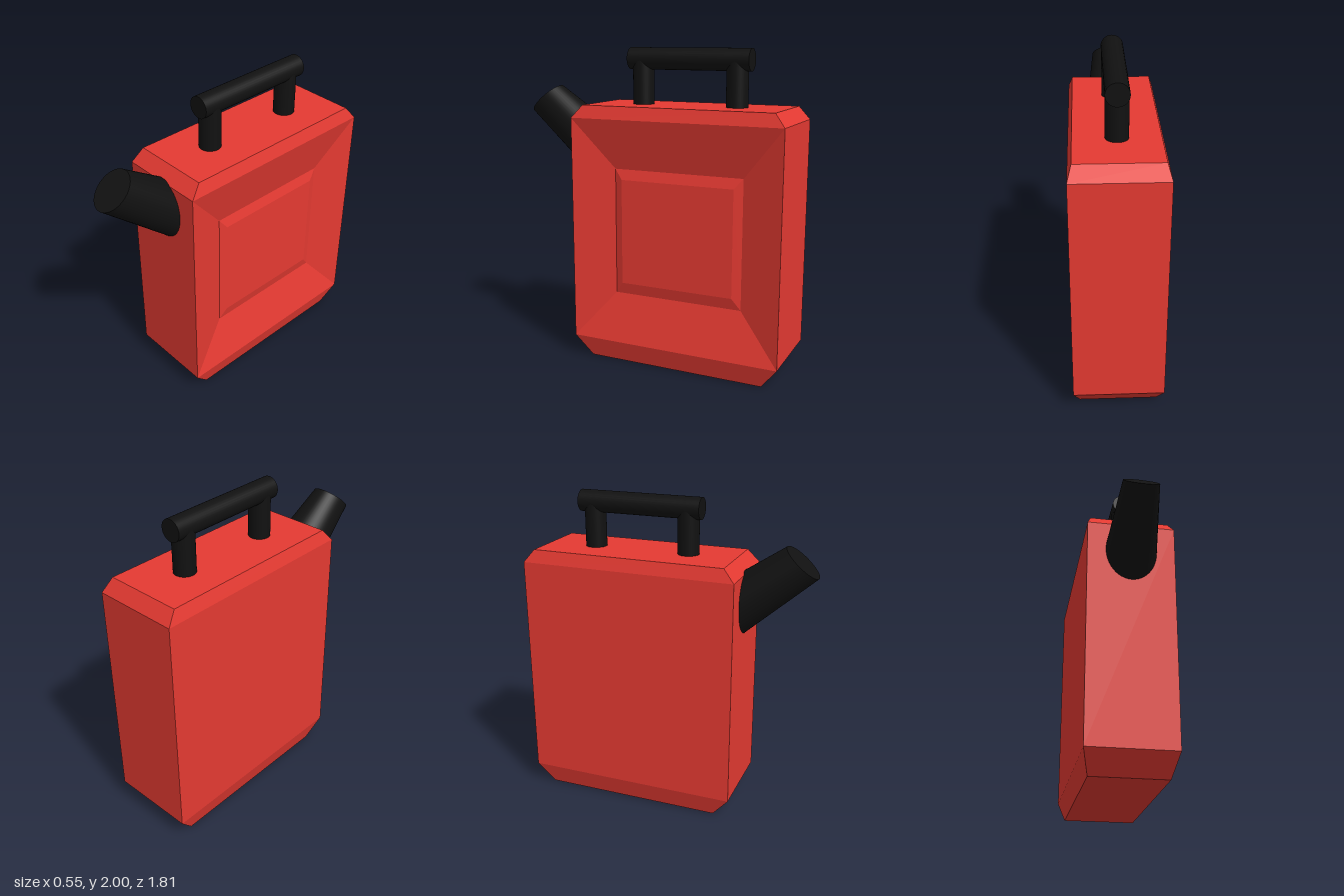
import * as THREE from 'three';

const red = new THREE.MeshStandardMaterial({ color: 0xe53a32 });
red.name = 'red plastic';
const black = new THREE.MeshStandardMaterial({ color: 0x111111 });
black.name = 'black plastic';

function addMesh(parent, name, geometry, material) {
  const mesh = new THREE.Mesh(geometry, material);
  mesh.name = name;
  parent.add(mesh);
  return mesh;
}

// Four corners of a horizontal section, counter-clockwise from above
const section = (y, x, z0, z1) => [[x, y, z0], [x, y, z1], [-x, y, z1], [-x, y, z0]];

// Four corners of a rectangle facing +x, counter-clockwise from outside
const panel = (x, y0, y1, z0, z1) => [[x, y0, z0], [x, y0, z1], [x, y1, z1], [x, y1, z0]];

// Chamfered tank with a stepped recess pressed into its left side
function bodyGeometry() {
  const positions = [];
  const quad = (a, b, c, d) => positions.push(...a, ...b, ...c, ...a, ...c, ...d);
  const bridge = (from, to, skip = -1) => {
    for (let i = 0; i < 4; i++) {
      const j = (i + 1) % 4;
      if (i !== skip) quad(from[i], from[j], to[j], to[i]);
    }
  };

  const levels = [
    section(0, 0.235, 0.36, -0.8),
    section(0.135, 0.273, 0.47, -0.905),
    section(1.57, 0.273, 0.47, -0.905),
    section(1.65, 0.248, 0.4, -0.84),
  ];
  // the middle band leaves its +x side open for the recess
  for (let k = 0; k < 3; k++) bridge(levels[k], levels[k + 1], k === 1 ? 0 : -1);
  quad(...levels[3]);
  quad(...[...levels[0]].reverse());

  const steps = [
    panel(0.273, 0.135, 1.57, 0.47, -0.905),
    panel(0.193, 0.445, 1.255, 0.2, -0.645),
    panel(0.21, 0.518, 1.19, 0.15, -0.59),
  ];
  bridge(steps[0], steps[1]);
  bridge(steps[1], steps[2]);
  quad(...steps[2]);

  const geometry = new THREE.BufferGeometry();
  geometry.setAttribute('position', new THREE.Float32BufferAttribute(positions, 3));
  geometry.computeVertexNormals();
  return geometry;
}

// Tapered oval spout: a cylinder blended from a base oval to a tilted tip oval
function spoutGeometry() {
  const geometry = new THREE.CylinderGeometry(1, 1, 1, 48);
  const p = geometry.attributes.position;
  const mix = THREE.MathUtils.lerp;
  for (let i = 0; i < p.count; i++) {
    const x = p.getX(i), t = p.getY(i) + 0.5, s = p.getZ(i);
    p.setXYZ(
      i,
      x * mix(0.165, 0.11, t),
      mix(1.353 - 0.207 * s, 1.6625 - 0.0875 * s, t),
      mix(0.42, 0.805 + 0.1 * s, t),
    );
  }
  geometry.computeVertexNormals();
  return geometry;
}

export function createModel() {
  const model = new THREE.Group();
  model.name = 'jerryCan';

  addMesh(model, 'body', bodyGeometry(), red);
  addMesh(model, 'spout', spoutGeometry(), black);

  // Handle: a round bar on two posts
  const handle = new THREE.Group();
  handle.name = 'handle';
  model.add(handle);
  const bar = addMesh(handle, 'handleBar', new THREE.CylinderGeometry(0.068, 0.068, 0.797, 32), black);
  bar.rotation.x = Math.PI / 2;
  bar.position.set(0, 1.932, -0.218);
  for (const [name, z] of [['frontPost', 0.095], ['rearPost', -0.527]]) {
    const post = addMesh(handle, name, new THREE.CylinderGeometry(0.067, 0.067, 0.3, 32), black);
    post.position.set(0, 1.78, z);
  }
  return model;
}
